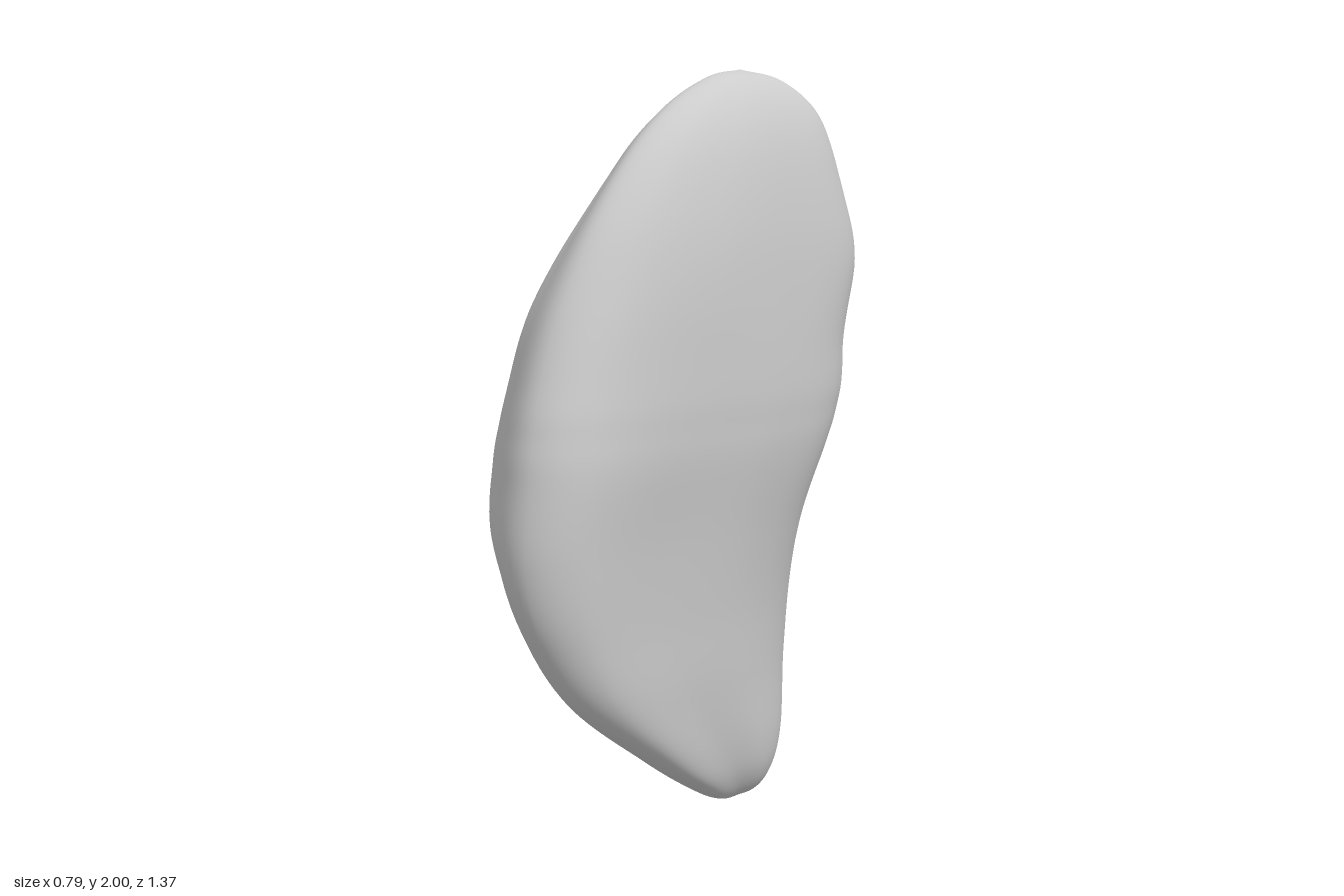
import * as THREE from 'three';
import { mergeVertices } from 'three/addons/utils/BufferGeometryUtils.js';

// Extent of the stone at rising heights: [y, xMin, xMax, zMin, zMax]
const LEVELS = [
  [0, 0.12, 0.12, -0.16, -0.16],
  [0.02, 0.02, 0.2, -0.25, -0.04],
  [0.09, -0.08, 0.255, -0.33, 0.09],
  [0.2, -0.16, 0.285, -0.4, 0.25],
  [0.4, -0.26, 0.305, -0.47, 0.5],
  [0.6, -0.35, 0.32, -0.54, 0.63],
  [0.8, -0.395, 0.345, -0.6, 0.68],
  [1.0, -0.38, 0.378, -0.66, 0.67],
  [1.1, -0.355, 0.387, -0.677, 0.655],
  [1.2, -0.325, 0.39, -0.655, 0.63],
  [1.4, -0.28, 0.383, -0.54, 0.56],
  [1.6, -0.2, 0.367, -0.48, 0.455],
  [1.78, -0.12, 0.335, -0.425, 0.315],
  [1.9, -0.03, 0.29, -0.365, 0.17],
  [1.975, 0.07, 0.23, -0.25, 0.01],
  [2, 0.16, 0.16, -0.13, -0.13],
];

// Outlines inside a unit square (x, z), from the flat side round by the front,
// the left bulge, the groove, the back bump and the slanted back
const OUTLINES = [
  { y: 0.4, p: [[1, 0.465], [0.99, 0.69], [0.965, 0.925], [0.83, 1], [0.55, 0.92], [0.28, 0.77],
    [0.07, 0.57], [0, 0.38], [0.03, 0.175], [0.23, 0.01], [0.525, 0.03], [0.9, 0.265]] },
  { y: 0.95, p: [[1, 0.475], [0.97, 0.69], [0.925, 0.925], [0.78, 1], [0.48, 0.93], [0.245, 0.8],
    [0.05, 0.6], [0.13, 0.44], [0.015, 0.18], [0.3, 0], [0.66, 0.125], [0.955, 0.3]] },
  { y: 1.25, p: [[1, 0.45], [0.97, 0.69], [0.88, 0.93], [0.72, 1], [0.44, 0.92], [0.185, 0.79],
    [0, 0.59], [0.2, 0.39], [0.17, 0.18], [0.28, 0], [0.62, 0.06], [0.95, 0.245]] },
  { y: 1.5, p: [[1, 0.4], [0.98, 0.68], [0.88, 0.91], [0.72, 1], [0.46, 0.91], [0.195, 0.765],
    [0, 0.57], [0.12, 0.37], [0.26, 0.2], [0.48, 0.02], [0.74, 0], [0.955, 0.125]] },
  { y: 1.75, p: [[1, 0.4], [0.98, 0.68], [0.88, 0.91], [0.72, 1], [0.49, 0.89], [0.22, 0.74],
    [0, 0.54], [0.1, 0.35], [0.26, 0.18], [0.48, 0.02], [0.74, 0], [0.95, 0.13]] },
];

const RINGS = 120, SIDES = 120;

// Smooth blend of the outlines over the height
const blend = new THREE.CubicInterpolant(
  OUTLINES.map((o) => o.y), OUTLINES.flatMap((o) => o.p.flat()), 24);
blend.settings = { endingStart: THREE.ZeroSlopeEnding, endingEnd: THREE.ZeroSlopeEnding };

function outlineAt(y) {
  const v = blend.evaluate(y);
  const points = OUTLINES[0].p.map((_, i) => new THREE.Vector3(v[2 * i], 0, v[2 * i + 1]));
  return new THREE.CatmullRomCurve3(points, true);
}

// Shallow diagonal crease across the front
function frontCrease(x, y, z) {
  const across = x * 0.73 + (y - 0.7) * 0.68;
  const along = x * 0.68 - (y - 0.7) * 0.73;
  const front = THREE.MathUtils.smoothstep(z, 0.15, 0.4);
  return 0.016 * front * Math.exp(-((across / 0.07) ** 2) - (along / 0.2) ** 2);
}

function stoneGeometry() {
  const spline = (f) => new THREE.CatmullRomCurve3(LEVELS.map(f), false, 'catmullrom', 0.5);
  const xExtent = spline(([y, a, b]) => new THREE.Vector3(y, a, b));
  const zExtent = spline(([y, , , a, b]) => new THREE.Vector3(y, a, b));
  const positions = [], index = [];
  for (let j = 0; j <= RINGS; j++) {
    const ex = xExtent.getPoint(j / RINGS), ez = zExtent.getPoint(j / RINGS);
    const y = THREE.MathUtils.clamp(ex.x, 0, 2);
    const outline = outlineAt(y);
    for (let i = 0; i < SIDES; i++) {
      const p = outline.getPoint(i / SIDES);
      const x = THREE.MathUtils.lerp(ex.y, ex.z, p.x);
      const z = THREE.MathUtils.lerp(ez.y, ez.z, p.z);
      positions.push(x, y, z - frontCrease(x, y, z));
      if (j === RINGS) continue;
      const a = j * SIDES + i, c = j * SIDES + (i + 1) % SIDES;
      index.push(a, a + SIDES, c, c, a + SIDES, c + SIDES);
    }
  }
  let geometry = new THREE.BufferGeometry();
  geometry.setAttribute('position', new THREE.Float32BufferAttribute(positions, 3));
  geometry.setIndex(index);
  geometry = mergeVertices(geometry, 1e-5); // closes both poles
  geometry.computeVertexNormals();
  return geometry;
}

export function createModel() {
  const group = new THREE.Group();
  group.name = 'rock';
  const stone = new THREE.Mesh(stoneGeometry(), new THREE.MeshStandardMaterial({ color: 0xcccccc }));
  stone.name = 'stone';
  group.add(stone);
  return group;
}
